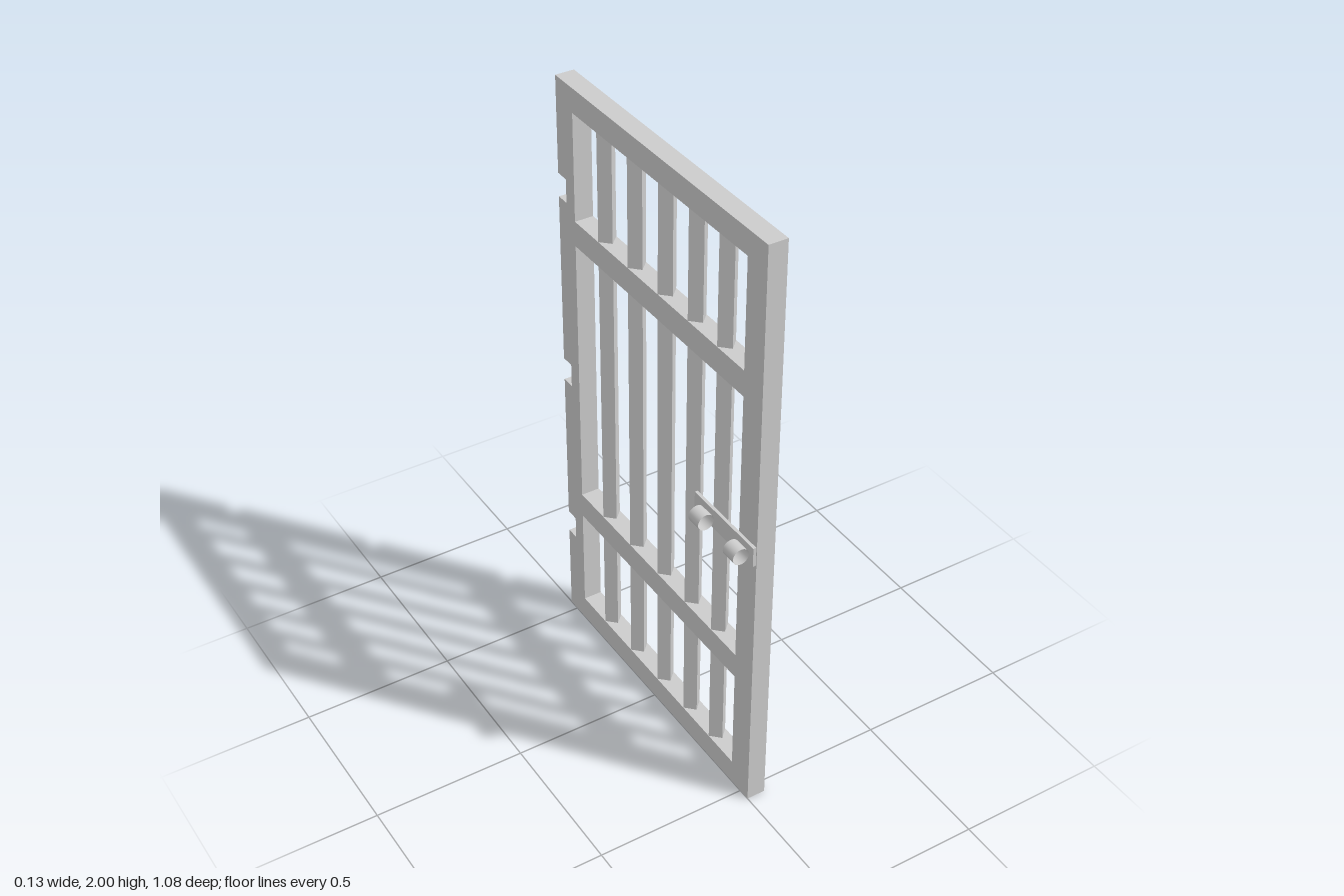
import * as THREE from 'three';

const DEPTH = 0.062;

export function createModel() {
  const group = new THREE.Group();
  const material = new THREE.MeshStandardMaterial({ color: 0xcccccc });
  const openMaterial = new THREE.MeshStandardMaterial({ color: 0xcccccc, side: THREE.DoubleSide });

  const add = (name, geometry, x, y, z, mat = material) => {
    const mesh = new THREE.Mesh(geometry, mat);
    mesh.name = name;
    mesh.position.set(x, y, z);
    group.add(mesh);
    return mesh;
  };

  // Frame outline in (z, y), with three hinge notches in the back edge
  const back = -0.54, front = 0.54, notchZ = -0.495;
  const outline = [[front, 0], [front, 2], [back, 2]];
  for (const [low, high] of [[1.6, 1.68], [0.935, 1.015], [0.318, 0.398]]) {
    outline.push([back, high], [notchZ, high], [notchZ, low], [back, low]);
  }
  outline.push([back, 0]);
  const shape = new THREE.Shape(outline.map(([z, y]) => new THREE.Vector2(z, y)));

  // Three openings separated by the cross rails
  for (const [low, high] of [[0.083, 0.443], [0.53, 1.475], [1.56, 1.92]]) {
    shape.holes.push(new THREE.Path([
      new THREE.Vector2(-0.447, low), new THREE.Vector2(-0.447, high),
      new THREE.Vector2(0.45, high), new THREE.Vector2(0.45, low),
    ]));
  }
  const frame = new THREE.ExtrudeGeometry(shape, { depth: DEPTH, bevelEnabled: false });
  frame.rotateY(-Math.PI / 2);
  add('frame', frame, DEPTH, 0, 0);

  // Square bars set corner-on
  const barSide = 0.0435;
  for (const z of [0.318, 0.17, 0.014, -0.148, -0.313]) {
    const bar = new THREE.BoxGeometry(barSide, 1.86, barSide);
    bar.rotateY(Math.PI / 4);
    add('bar', bar, DEPTH / 2, 1.0, z);
  }

  // Latch plate with two open bolt sleeves
  add('latchPlate', new THREE.BoxGeometry(0.01, 0.066, 0.303), -0.005, 0.973, 0.3855);
  for (const z of [0.31, 0.49]) {
    const sleeve = new THREE.CylinderGeometry(0.027, 0.027, 0.052, 32, 1, true);
    sleeve.rotateX(Math.PI / 2);
    add('boltSleeve', sleeve, -0.037, 0.973, z, openMaterial);
  }
  return group;
}
